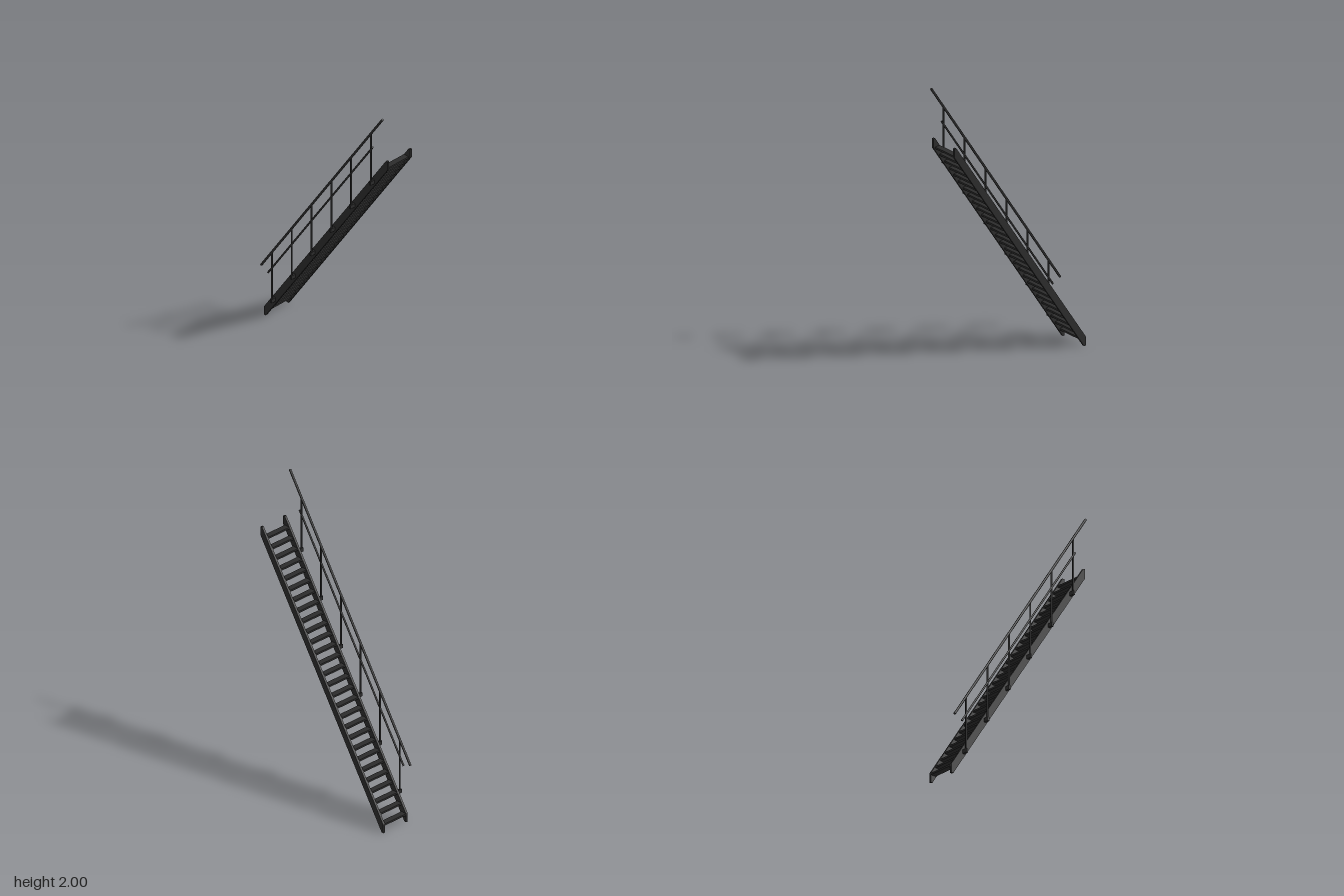
import * as THREE from 'three';

const SLOPE = 1.524; // rise over run of the flight

export function createModel() {
  const model = new THREE.Group();
  model.name = 'steepStair';
  const steel = new THREE.MeshStandardMaterial({ color: 0x2b2b2b });

  function add(name, geometry, x = 0, y = 0, z = 0) {
    const mesh = new THREE.Mesh(geometry, steel);
    mesh.name = name;
    mesh.position.set(x, y, z);
    model.add(mesh);
    return mesh;
  }

  // Round bar between two points
  function bar(name, a, b, radius) {
    const dir = b.clone().sub(a);
    const mesh = add(name, new THREE.CylinderGeometry(radius, radius, dir.length(), 12));
    mesh.position.copy(a).add(b).multiplyScalar(0.5);
    mesh.quaternion.setFromUnitVectors(new THREE.Vector3(0, 1, 0), dir.normalize());
  }

  // Stringers: sloping plates with plumb and level cut ends
  const outline = new THREE.Shape([
    [-0.537, 0], [-0.523, 0], [0.54, 1.62], [0.54, 1.68], [0.526, 1.68], [-0.537, 0.06],
  ].map(([x, y]) => new THREE.Vector2(x, y)));
  const stringer = new THREE.ExtrudeGeometry(outline, { depth: 0.014, bevelEnabled: false });
  add('frontStringer', stringer, 0, 0, 0.07);
  add('backStringer', stringer, 0, 0, -0.118);

  // Treads between the stringers
  const tread = new THREE.BoxGeometry(0.039, 0.012, 0.176);
  for (let i = 0; i < 28; i++) {
    add('tread', tread, -0.517 + i * 0.0379, 0.054 + i * 0.0578, -0.017);
  }

  // Handrail and lower rail on the front side
  const railZ = 0.108;
  bar('handrail', new THREE.Vector3(-0.535, 0.38, railZ), new THREE.Vector3(0.522, 1.996, railZ), 0.0075);
  bar('midRail', new THREE.Vector3(-0.476, 0.353, railZ), new THREE.Vector3(0.437, 1.749, railZ), 0.006);

  // Posts with brackets fixed to the front stringer
  const bracket = new THREE.BoxGeometry(0.014, 0.026, 0.036);
  for (let i = 0; i < 6; i++) {
    const x = -0.442 + i * 0.1725;
    const y = 0.163 + i * 0.1725 * SLOPE;
    bar('post', new THREE.Vector3(x, y - 0.01, railZ), new THREE.Vector3(x, y + 0.36, railZ), 0.006);
    add('bracket', bracket, x, y, 0.1);
  }

  return model;
}
